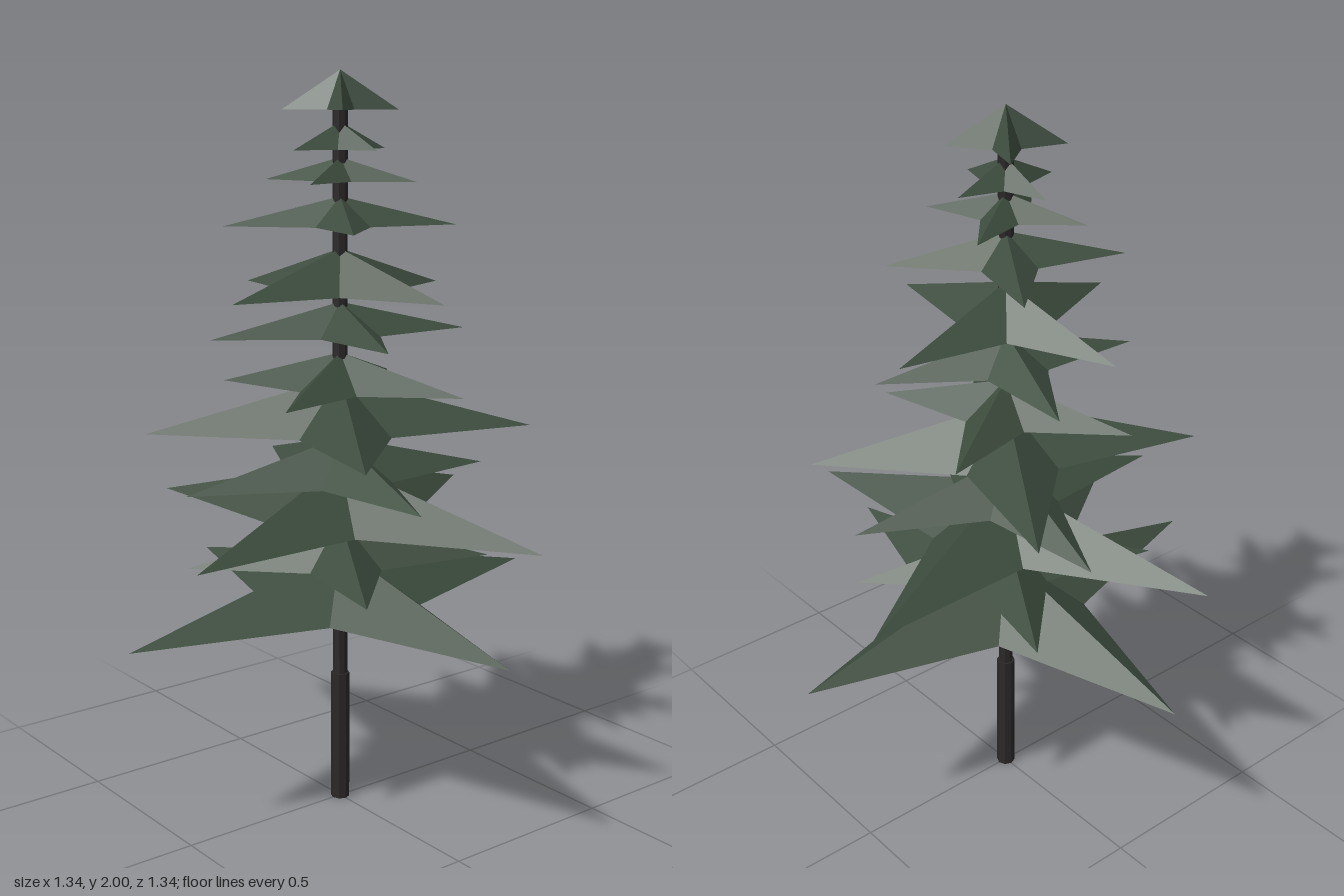
import * as THREE from 'three';

// One row per branch tier: [x, z] of one star tip, rim height, peak height
const TIERS = [
  [0.67, 0, 0.575, 0.73],
  [0.365, 0.2, 0.69, 0.815],
  [0.585, -0.19, 0.81, 0.97],
  [0.438, 0.087, 0.925, 1.04],
  [0.445, 0.27, 1.06, 1.205],
  [0.304, -0.17, 1.17, 1.27],
  [0.337, 0.113, 1.32, 1.405],
  [0.37, -0.04, 1.43, 1.545],
  [0.26, 0.161, 1.605, 1.68],
  [0.18, -0.11, 1.72, 1.78],
  [0.15, 0, 1.8, 1.87],
  [0.123, 0.088, 1.9, 2.0],
];
const NOTCH = 0.33; // notch radius as a share of the tip radius

// Open eight-sided cone with every other rim corner pulled in to a notch
function starCone(radius, height) {
  const geo = new THREE.ConeGeometry(radius, height, 8, 1, true);
  const pos = geo.attributes.position;
  for (let i = 0; i < pos.count; i++) {
    if (pos.getY(i) < 0 && (i % 9) % 2 === 1) {
      pos.setXYZ(i, pos.getX(i) * NOTCH, pos.getY(i), pos.getZ(i) * NOTCH);
    }
  }
  const flat = geo.toNonIndexed();
  flat.computeVertexNormals();
  return flat;
}

export function createModel() {
  const tree = new THREE.Group();
  tree.name = 'pineTree';

  const needles = new THREE.MeshStandardMaterial({
    color: 0x3e4d3f, flatShading: true, side: THREE.DoubleSide,
  });
  const bark = new THREE.MeshStandardMaterial({ color: 0x2a2727, flatShading: true });

  // Trunk: a thicker foot and a thinner stem
  const trunkPart = (name, radius, y0, y1) => {
    const mesh = new THREE.Mesh(new THREE.CylinderGeometry(radius, radius, y1 - y0, 8), bark);
    mesh.name = name;
    mesh.position.y = (y0 + y1) / 2;
    tree.add(mesh);
  };
  trunkPart('trunkFoot', 0.026, 0, 0.37);
  trunkPart('trunkStem', 0.02, 0.37, 1.95);

  // Branch tiers, each turned so a tip points along its given direction
  TIERS.forEach(([x, z, rim, peak], i) => {
    const mesh = new THREE.Mesh(starCone(Math.hypot(x, z), peak - rim), needles);
    mesh.name = `branchTier${i + 1}`;
    mesh.position.y = (rim + peak) / 2;
    mesh.rotation.y = Math.atan2(x, z);
    tree.add(mesh);
  });

  return tree;
}
